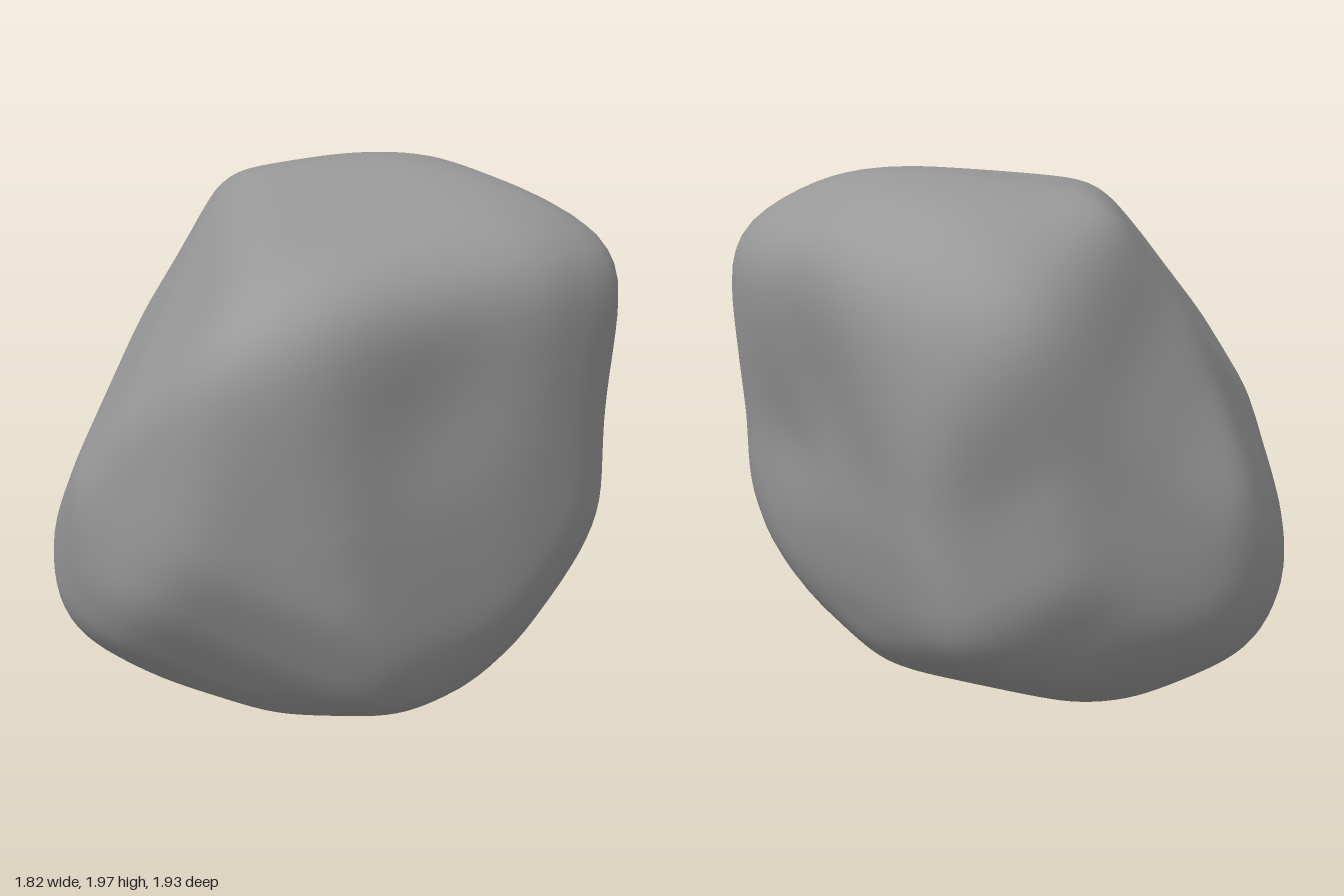
import * as THREE from 'three';
import { mergeVertices } from 'three/addons/utils/BufferGeometryUtils.js';

// Boulder outlines (u, v pairs, counter-clockwise round the centre), one per carving direction
const frontOutline = [.88, 0, .92, .6, .92, .7, .87, .84, .75, .9, .6, .95, .13, 1, -.13, .98, -.4, .93, -.57, .88,
  -.73, .78, -.88, .66, -.91, .57, -.9, .1, -.925, -.3, -.91, -.5, -.85, -.65, -.73, -.77, -.45, -.9,
  -.2, -.965, .07, -1, .35, -.96, .63, -.86, .77, -.7, .85, -.48];
const sideOutline = [.87, .05, .985, .6, .98, .7, .93, .85, .78, .96, .6, .99, .37, 1, 0, .935, -.4, .88, -.6, .85,
  -.8, .75, -.88, .67, -.91, .57, -.95, .2, -.99, -.03, -.96, -.27, -.88, -.53, -.78, -.68, -.63, -.82,
  -.4, -.93, -.19, -1, .1, -.96, .45, -.87, .6, -.78, .7, -.65, .79, -.43, .84, -.2];
const topOutline = [.88, .05, .92, .31, .86, .6, .8, .83, .65, .89, .3, .975, -.1, .99, -.4, .95, -.7, .85, -.8, .8,
  -.885, .7, -.915, .55, -.9, .32, -.92, 0, -.92, -.23, -.8, -.5, -.6, -.7, -.4, -.83, 0, -.98,
  .25, -.94, .6, -.89, .77, -.78, .83, -.67, .86, -.5, .87, -.2];
const frontRightOutline = [1.09, -.11, 1.08, .23, 1.135, .69, 1.08, .79, .76, .98, .39, 1.16, -.02, 1.17, -.27, 1.11,
  -.38, 1.04, -.45, .91, -.56, .59, -.7, .3, -.86, .03, -.95, -.34, -.91, -.52, -.83, -.67,
  -.69, -.83, -.41, -.94, .01, -.99, .51, -.93, .66, -.82, .84, -.6, 1.01, -.28];
const backLeftOutline = [.94, -.34, .84, -.08, .61, .38, .39, .66, -.04, 1.11, -.22, 1.14, -.39, 1.1, -.61, .98,
  -.9, .87, -1.01, .72, -1.13, .52, -1.11, .34, -1.08, .09, -1.09, -.28, -1.01, -.48, -.79, -.68,
  -.44, -.89, .24, -.92, .51, -.89, .71, -.81, .83, -.66];
const backBelowOutline = [1.12, .46, 1.04, .7, .86, .91, .61, 1.08, .26, 1.14, -.06, 1.2, -.46, 1.12, -.71, .91,
  -.99, .71, -1.09, .44, -1.03, .16, -.94, -.25, -.78, -.52, -.53, -.8, -.26, -.99, -.03, -1.02,
  .22, -1, .51, -.89, .76, -.66, .97, -.3, 1.01, .09];

// A carving direction (turn from the front and tilt, in degrees): the outline plus its two axes
function carver(outline, turn, tilt) {
  const a = THREE.MathUtils.degToRad(turn), e = THREE.MathUtils.degToRad(tilt);
  return {
    outline,
    u: new THREE.Vector3(Math.cos(a), 0, -Math.sin(a)),
    v: new THREE.Vector3(-Math.sin(a) * Math.sin(e), Math.cos(e), -Math.cos(a) * Math.sin(e)),
  };
}

const carvers = [
  carver(frontOutline, 0, 0),
  carver(sideOutline, 90, 0),
  carver(topOutline, 0, 90),
  carver(frontRightOutline, 35, 27),
  carver(backLeftOutline, 215, 27),
  carver(backBelowOutline, 145, -27),
];

// Distance along direction d at which it leaves the extruded outline
function reach({ outline, u, v }, d) {
  const a = d.dot(u), b = d.dot(v), n = outline.length;
  if (Math.hypot(a, b) < 1e-3) return 50;
  for (let i = 0; i < n; i += 2) {
    const px = outline[i], py = outline[i + 1];
    const qx = outline[(i + 2) % n], qy = outline[(i + 3) % n];
    if (px * b - py * a >= 0 && a * qy - b * qx >= 0) {
      return (px * qy - py * qx) / (a * (qy - py) - b * (qx - px));
    }
  }
  return 50;
}

// Shallow hollows: direction, depth, angular width
const hollows = [
  [new THREE.Vector3(0.82, 0.4, 0.15).normalize(), 0.04, 0.3],
  [new THREE.Vector3(-0.05, 0.33, -0.9).normalize(), 0.04, 0.3],
  [new THREE.Vector3(0.31, 0.07, -0.82).normalize(), 0.04, 0.25],
];

function radius(d) {
  let sum = 0;
  for (const c of carvers) sum += Math.pow(reach(c, d), -40);
  let r = 1.01 * Math.pow(sum, -1 / 40);
  for (const [dir, depth, width] of hollows) {
    r -= depth * Math.exp(-((d.angleTo(dir) / width) ** 2));
  }
  return r;
}

// Move every point by a share of the way to the average of its neighbours
function relax(geometry, share) {
  const pos = geometry.attributes.position, index = geometry.index.array;
  const sum = new Float32Array(pos.count * 3), count = new Float32Array(pos.count);
  for (let i = 0; i < index.length; i += 3) {
    for (let j = 0; j < 3; j++) {
      const p = index[i + j], q = index[i + (j + 1) % 3];
      for (let k = 0; k < 3; k++) sum[p * 3 + k] += pos.array[q * 3 + k];
      count[p]++;
    }
  }
  for (let i = 0; i < sum.length; i++) {
    pos.array[i] += share * (sum[i] / count[Math.floor(i / 3)] - pos.array[i]);
  }
}

export function createModel() {
  const group = new THREE.Group();
  group.name = 'boulder';

  // Carve a fine sphere
  let geometry = new THREE.IcosahedronGeometry(1, 24);
  geometry.deleteAttribute('uv');
  geometry.deleteAttribute('normal');
  geometry = mergeVertices(geometry, 1e-4);
  const pos = geometry.attributes.position, d = new THREE.Vector3();
  for (let i = 0; i < pos.count; i++) {
    d.fromBufferAttribute(pos, i).normalize();
    d.multiplyScalar(radius(d));
    pos.setXYZ(i, d.x, d.y, d.z);
  }

  // Soften the carved edges, alternating in and out so the volume is kept
  for (let k = 0; k < 20; k++) {
    relax(geometry, 0.6);
    relax(geometry, -0.5);
  }
  geometry.translate(0, 1, 0);
  geometry.computeVertexNormals();

  const rock = new THREE.Mesh(geometry, new THREE.MeshStandardMaterial({ color: 0x999999 }));
  rock.name = 'rock';
  group.add(rock);
  return group;
}
